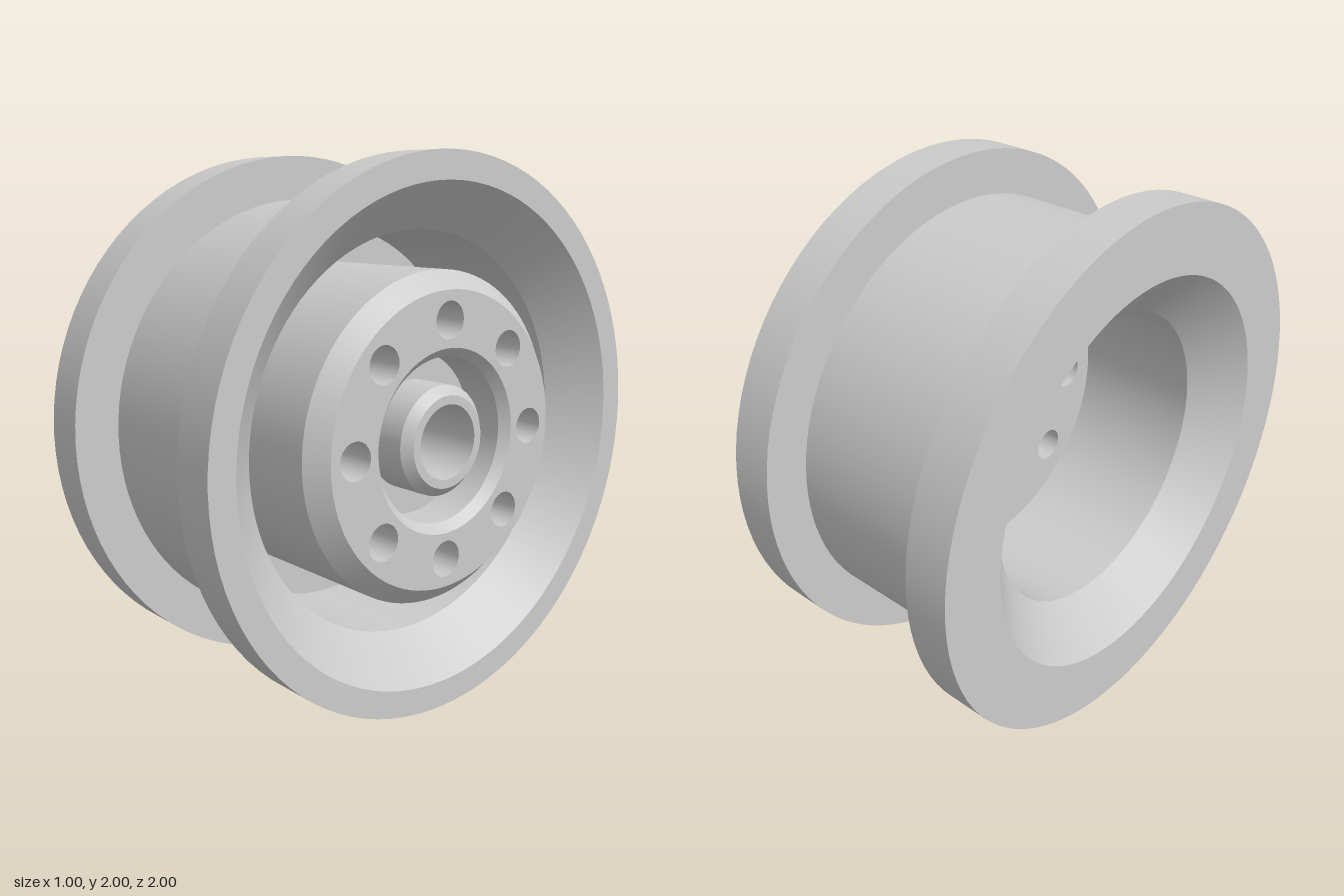
import * as THREE from 'three';
import { mergeGeometries } from 'three/addons/utils/BufferGeometryUtils.js';

const SEG = 96;
const BACK = 0.167, FACE = 0.5; // hub plate planes along the axle
const material = new THREE.MeshStandardMaterial({ color: 0xcccccc });

// Revolve [radius, x] points about the x axis; each span keeps crisp edges
function turned(points, seg = SEG) {
  const spans = [];
  for (let i = 0; i + 1 < points.length; i++) {
    const pair = [points[i], points[i + 1]].map(([r, x]) => new THREE.Vector2(r, x));
    spans.push(new THREE.LatheGeometry(pair, seg));
  }
  return mergeGeometries(spans).rotateZ(-Math.PI / 2);
}

// Bolt circle positions
const bolts = Array.from({ length: 8 }, (_, i) => {
  const a = (i * Math.PI) / 4;
  return [0.43 * Math.cos(a), 0.43 * Math.sin(a)];
});
const BOLT_R = 0.067;

// Flat ring with bolt holes, facing +x
function drilledRing(outer, inner) {
  const shape = new THREE.Shape().absarc(0, 0, outer, 0, Math.PI * 2);
  shape.holes.push(new THREE.Path().absarc(0, 0, inner, 0, Math.PI * 2, true));
  for (const [u, v] of bolts) {
    shape.holes.push(new THREE.Path().absarc(u, v, BOLT_R, 0, Math.PI * 2, true));
  }
  return new THREE.ShapeGeometry(shape, SEG / 2).rotateY(Math.PI / 2);
}

export function createModel() {
  const group = new THREE.Group();
  const wheel = new THREE.Group();
  wheel.position.y = 1;
  group.add(wheel);
  const add = (name, geometry) => {
    const mesh = new THREE.Mesh(geometry, material);
    mesh.name = name;
    wheel.add(mesh);
    return mesh;
  };

  // Barrel with two flanges, dished mouths on both sides
  add('rim', turned([
    [0.57, BACK], [0.57, -0.333], [0.75, -0.5], [1, -0.5], [1, -0.333], [0.833, -0.333],
    [0.833, 0.333], [1, 0.333], [1, 0.5], [0.9, 0.5], [0.735, 0.333],
    [0.735, -0.167], [0.6, -0.167],
  ]));

  // Hub drum rising from the dish
  add('hubDrum', turned([[0.6, -0.167], [0.6, 0.433], [0.535, FACE]]));

  // Recess around the axle, raised boss and through bore
  add('axleBoss', turned([
    [0.333, FACE], [0.3, 0.467], [0.3, 0.31], [0.2, 0.31], [0.2, 0.467],
    [0.167, FACE], [0.135, FACE], [0.135, BACK],
  ]));

  // Drilled plate: front face and rear face
  add('hubFace', drilledRing(0.535, 0.333)).position.x = FACE;
  const rear = add('hubRear', drilledRing(0.57, 0.135));
  rear.rotation.y = Math.PI;
  rear.position.x = BACK;

  // Bolt hole walls
  for (const [u, v] of bolts) {
    add('boltHole', turned([[BOLT_R, FACE], [BOLT_R, BACK]], 48)).position.set(0, v, u);
  }
  return group;
}
